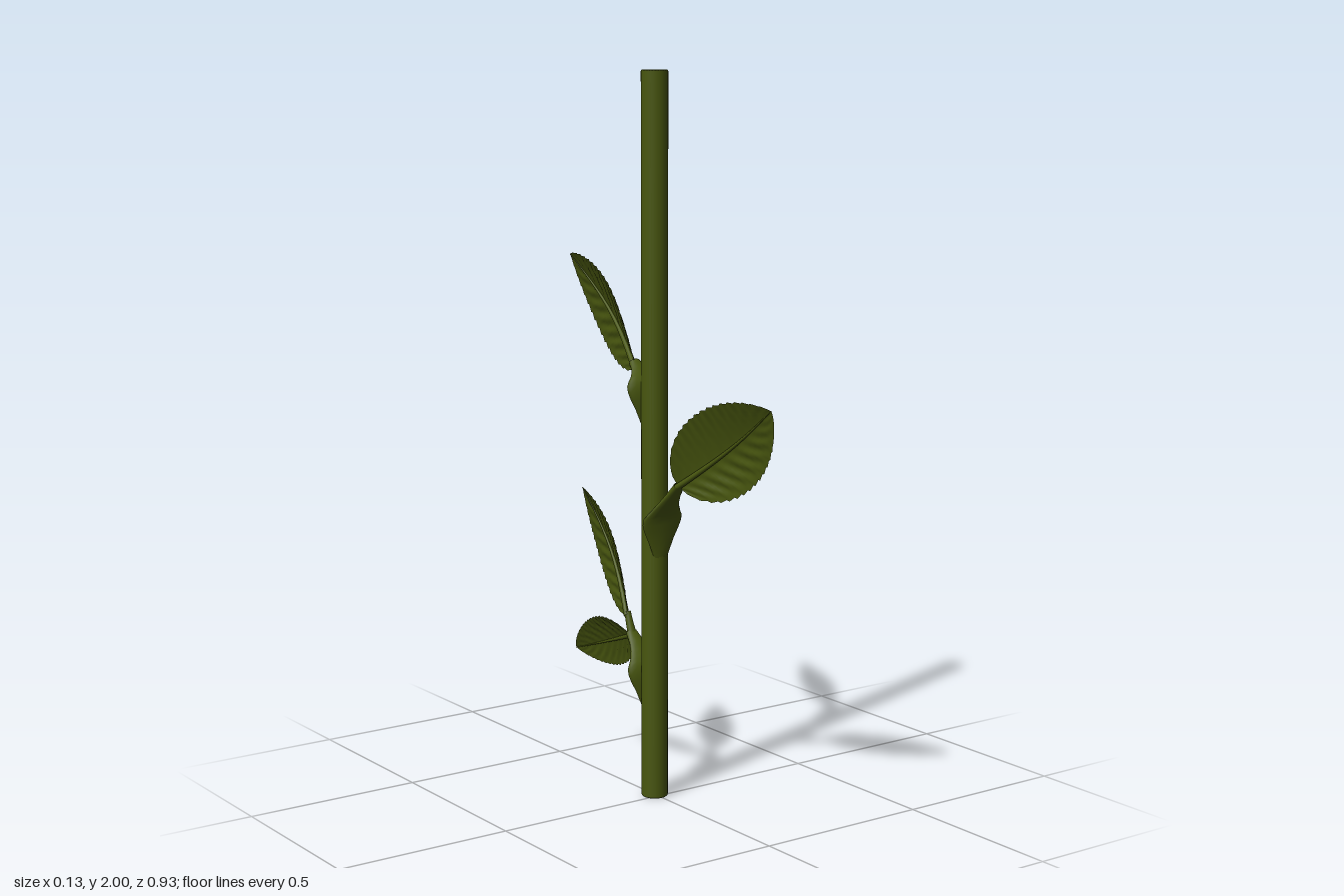
import * as THREE from 'three';

const green = new THREE.MeshStandardMaterial({ color: 0x48560f, side: THREE.DoubleSide });
green.name = 'leaf green';

const CX = -0.002, CZ = -0.014; // stem axis

function mesh(geometry, name) {
  const m = new THREE.Mesh(geometry, green);
  m.name = name;
  return m;
}

// Surface over a grid of points; point(i, j) returns [x, y, z]
function gridSurface(rows, cols, point) {
  const pos = [], index = [];
  for (let i = 0; i <= rows; i++) {
    for (let j = 0; j <= cols; j++) {
      pos.push(...point(i, j));
      if (i < rows && j < cols) {
        const a = i * (cols + 1) + j, b = a + cols + 1;
        index.push(a, a + 1, b, b, a + 1, b + 1);
      }
    }
  }
  const g = new THREE.BufferGeometry();
  g.setAttribute('position', new THREE.Float32BufferAttribute(pos, 3));
  g.setIndex(index);
  g.computeVertexNormals();
  return g;
}

// Elliptical sections [x, y, z, halfWidth, halfThickness] along a path in the yz plane
function loft(sections) {
  const last = sections.length - 1, sides = 14;
  return gridSurface(last, sides, (i, j) => {
    const [x, y, z, w, t] = sections[i];
    const p = sections[Math.max(i - 1, 0)], n = sections[Math.min(i + 1, last)];
    const dy = n[1] - p[1], dz = n[2] - p[2], len = Math.hypot(dy, dz);
    const a = (j / sides) * Math.PI * 2, s = Math.sin(a) * t;
    return [x + Math.cos(a) * w, y - (dz / len) * s, z + (dy / len) * s];
  });
}

// Winged sheath that clasps the stem and narrows into the leaf stalk
function sheath(side, nodeY, end) {
  const profile = [
    [0.027, -0.13, 0.008, 0.006], [0.028, -0.09, 0.028, 0.01],
    [0.029, -0.055, 0.043, 0.012], [0.031, -0.028, 0.057, 0.014],
    [0.034, -0.008, 0.064, 0.014], [0.038, 0.008, 0.064, 0.013], [0.044, 0.02, 0.055, 0.012],
  ].map(([d, y, w, t]) => [CX, nodeY + y, CZ + side * d, w, t]);
  const [, y0, z0] = profile[profile.length - 1];
  [[0.2, 0.043], [0.4, 0.033], [0.65, 0.024], [1, 0.017]].forEach(([f, w]) =>
    profile.push([CX, y0 + (end[0] - y0) * f, z0 + (end[1] - z0) * Math.pow(f, 1.15), w, 0.011]));
  return mesh(loft(profile), 'leafSheath');
}

// Saw-edged leaf between two [y, z] points, gently domed, its face tilted upward
function leaf(base, tip, width, name) {
  const group = new THREE.Group();
  group.name = name;
  const dy = tip[0] - base[0], dz = tip[1] - base[1];
  const len = Math.hypot(dy, dz), k = len / 0.45;
  const qy = Math.abs(dz) / len, qz = -Math.sign(dz) * dy / len;
  const midX = (t) => CX + k * (0.025 * t + 0.025 * Math.sin(Math.PI * t));
  const shape = (t) => Math.pow(t, 0.55) * Math.pow(1 - t, 0.85) / 0.391;
  const teeth = 17, rows = teeth * 4, cols = 16;

  const blade = gridSurface(rows, cols, (i, j) => {
    const t = i / rows, v = (j / cols) * 2 - 1, a = Math.abs(v);
    const f = shape(t);
    const tooth = 1 - 0.07 * ((i % 4) / 4) * a;
    const h = v * f * tooth * width / 2;
    const along = t + 0.05 * a * a * f; // edges sweep toward the tip
    const tilt = -0.043 * k * v * Math.pow(f, 0.85); // lower edge swings out to +x
    const dome = -0.017 * k * f * Math.pow(a, 1.3);
    const vein = 0.003 * k * f * Math.sin((t - 0.2 * a) * Math.PI * 18) * Math.sin(Math.PI * Math.min(a * 1.1, 1));
    return [midX(t) + tilt + dome + vein, base[0] + dy * along + qy * h, base[1] + dz * along + qz * h];
  });
  group.add(mesh(blade, 'leafBlade'));

  const rib = [];
  for (let i = 0; i <= 12; i++) {
    const t = i / 12, r = 0.008 * k * (1 - t) + 0.001;
    rib.push([midX(t) - r * 0.6, base[0] + dy * t, base[1] + dz * t, r, r]);
  }
  group.add(mesh(loft(rib), 'midrib'));
  return group;
}

// Round stem with sunken cut ends
function stem() {
  const cut = [[0, 0.008], [0.011, 0.008], [0.013, 0.004], [0.023, 0.004], [0.026, 0], [0.034, 0], [0.0365, 0.003]];
  const pts = cut.map(([r, y]) => new THREE.Vector2(r, y));
  [...cut].reverse().forEach(([r, y]) => pts.push(new THREE.Vector2(r, 2 - y)));
  const m = mesh(new THREE.LatheGeometry(pts, 28), 'stem');
  m.position.set(CX, 0, CZ);
  return m;
}

export function createModel() {
  const model = new THREE.Group();
  model.name = 'leafyStem';
  model.add(stem());

  // Leaf sheaths on alternating sides
  model.add(sheath(-1, 1.145, [1.21, -0.11]));
  model.add(sheath(1, 0.79, [0.898, 0.1]));
  model.add(sheath(-1, 0.355, [0.445, -0.127]));

  // Short stalk joining the paired lower leaves
  model.add(mesh(loft([
    [CX, 0.435, -0.12, 0.014, 0.011], [CX, 0.465, -0.133, 0.011, 0.01], [CX, 0.5, -0.145, 0.009, 0.009],
  ]), 'leafStalk'));

  model.add(leaf([1.2, -0.105], [1.475, -0.462], 0.235, 'upperLeaf'));
  model.add(leaf([0.893, 0.097], [1.147, 0.464], 0.235, 'frontLeaf'));
  model.add(leaf([0.49, -0.142], [0.81, -0.403], 0.22, 'lowerLeaf'));
  model.add(leaf([0.435, -0.125], [0.33, -0.43], 0.15, 'smallLeaf'));
  return model;
}
